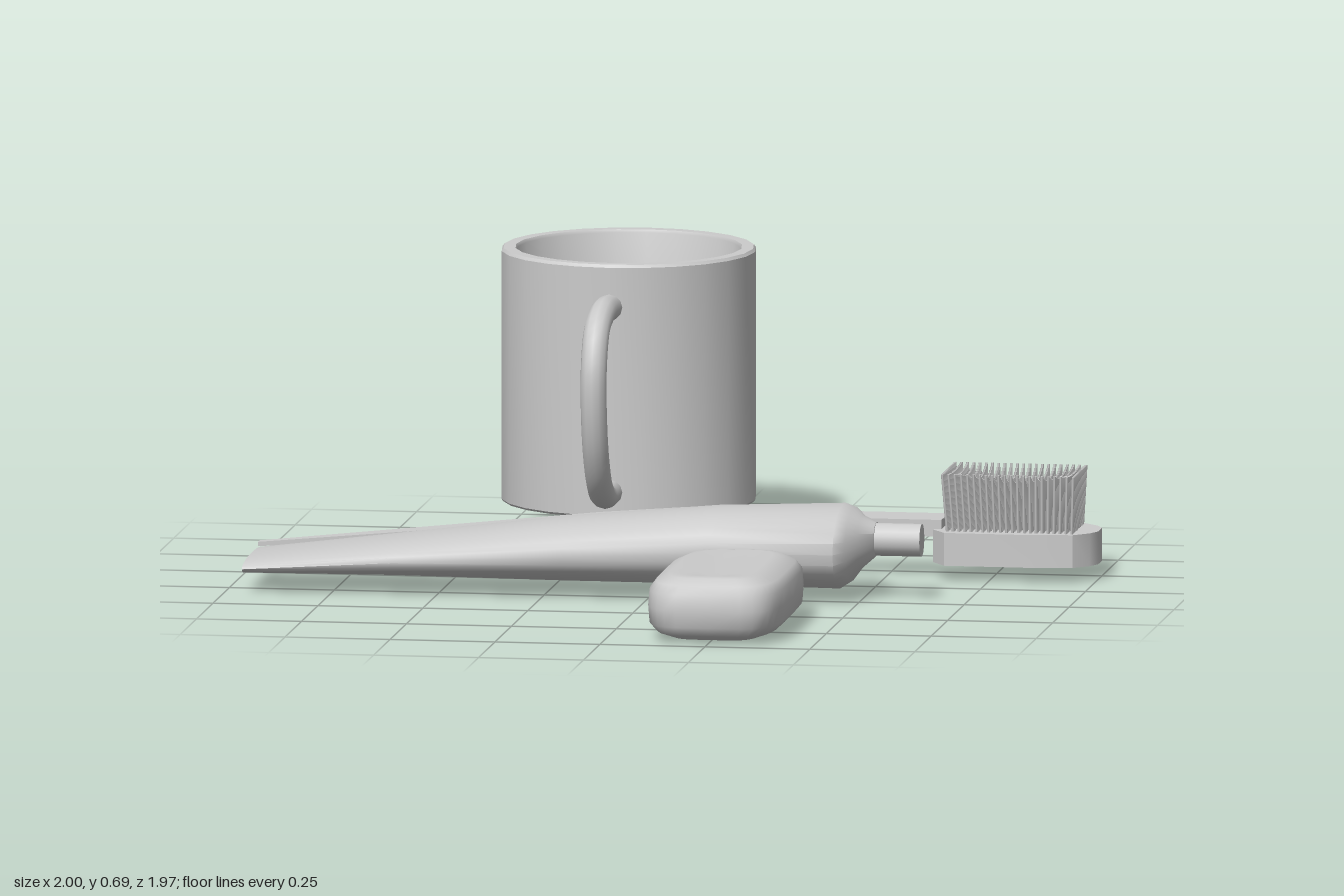
import * as THREE from 'three';
import { mergeGeometries, toCreasedNormals } from 'three/addons/utils/BufferGeometryUtils.js';

const material = new THREE.MeshStandardMaterial({ color: 0xcccccc, side: THREE.DoubleSide });

function part(name, geometry, parent, crease) {
  const mesh = new THREE.Mesh(crease ? toCreasedNormals(geometry, crease) : geometry, material);
  mesh.name = name;
  parent.add(mesh);
  return mesh;
}

// Skins closed rings of points (counter-clockwise about the axis) and caps both ends
function loft(rings) {
  const n = rings[0].length;
  const index = [];
  for (let r = 0; r < rings.length - 1; r++) {
    for (let i = 0; i < n; i++) {
      const a = r * n + i, b = r * n + (i + 1) % n;
      index.push(a, b, b + n, a, b + n, a + n);
    }
  }
  const last = (rings.length - 1) * n;
  for (let i = 1; i < n - 1; i++) {
    index.push(0, i + 1, i, last, last + i, last + i + 1);
  }
  const geometry = new THREE.BufferGeometry();
  geometry.setAttribute('position', new THREE.Float32BufferAttribute(rings.flat(2), 3));
  geometry.setIndex(index);
  geometry.computeVertexNormals();
  return geometry;
}

// Superellipse outline: power 2 is an ellipse, higher is boxier
function oval(sides, a, b, power) {
  const bend = (v) => Math.sign(v) * Math.pow(Math.abs(v), 2 / power);
  return Array.from({ length: sides }, (_, i) => {
    const t = (i / sides) * Math.PI * 2;
    return [a * bend(Math.cos(t)), b * bend(Math.sin(t))];
  });
}

function createMug() {
  const mug = new THREE.Group();
  mug.name = 'mug';
  mug.position.set(-0.195, 0, -0.685);
  const profile = [
    [0, 0.09], [0.297, 0.09], [0.301, 0.095], [0.301, 0.685], [0.296, 0.692],
    [0.268, 0.692], [0.264, 0.685], [0.264, 0.13], [0, 0.13],
  ].map(([x, y]) => new THREE.Vector2(x, y));
  part('mugBody', new THREE.LatheGeometry(profile, 24), mug, 0.6);

  // Handle loops out toward the front
  const path = new THREE.CatmullRomCurve3([
    [0.59, 0.285], [0.592, 0.40], [0.56, 0.49], [0.49, 0.53], [0.40, 0.535],
    [0.28, 0.505], [0.19, 0.445], [0.155, 0.38], [0.15, 0.285],
  ].map(([y, z]) => new THREE.Vector3(0, y, z)));
  part('mugHandle', new THREE.TubeGeometry(path, 32, 0.031, 12), mug);
  return mug;
}

function createToothbrush() {
  const brush = new THREE.Group();
  brush.name = 'toothbrush';

  // Handle sections: x, bottom, top, back z, front z
  const sections = [
    [-1, 0.034, 0.044, -0.21, -0.185],
    [-0.2, 0.082, 0.12, -0.278, -0.176],
    [0, 0.096, 0.136, -0.28, -0.172],
    [0.63, 0.096, 0.136, -0.28, -0.172],
  ];
  part('brushHandle', loft(sections.map(([x, y0, y1, z0, z1]) => [
    [x, y0, z0], [x, y1, z0], [x, y1, z1], [x, y0, z1],
  ])), brush, 0.4);

  // Head with cut corners
  const half = [[0.61, 0.055], [0.645, 0.108], [0.85, 0.111], [0.95, 0.097], [0.985, 0.062], [1, 0.03]];
  const outline = [
    ...half.map(([x, z]) => new THREE.Vector2(x, -z)),
    ...half.map(([x, z]) => new THREE.Vector2(x, z)).reverse(),
  ];
  const head = new THREE.ExtrudeGeometry(new THREE.Shape(outline), { depth: 0.078, bevelEnabled: false });
  head.rotateX(-Math.PI / 2).translate(0, 0.036, -0.223);
  part('brushHead', head, brush, 0.5);

  // Bristles fan outward a little and dip toward the middle
  const strands = [];
  const up = new THREE.Vector3(0, 1, 0);
  const nx = 22, nz = 14;
  for (let i = 0; i < nx; i++) {
    for (let j = 0; j < nz; j++) {
      const u = (i / (nx - 1)) * 2 - 1, v = (j / (nz - 1)) * 2 - 1;
      const root = new THREE.Vector3(0.797 + u * 0.148, 0.11, -0.226 + v * 0.084);
      const tip = new THREE.Vector3(0.795 + u * 0.156,
        0.252 - 0.03 * (1 - u * u) * (1 - v * v), -0.226 + v * 0.098);
      const axis = tip.clone().sub(root);
      const strand = new THREE.CylinderGeometry(0.0035, 0.0035, axis.length(), 5);
      strand.applyQuaternion(new THREE.Quaternion().setFromUnitVectors(up, axis.normalize()));
      const mid = root.add(tip).multiplyScalar(0.5);
      strands.push(strand.translate(mid.x, mid.y, mid.z));
    }
  }
  part('bristles', mergeGeometries(strands), brush);
  return brush;
}

function createToothpaste() {
  const tube = new THREE.Group();
  tube.name = 'toothpasteTube';

  // Body sections: x, centre y, half height, half width
  const sections = [
    [-0.957, 0.057, 0.018, 0.156],
    [-0.6, 0.08, 0.044, 0.156],
    [-0.2, 0.103, 0.073, 0.156],
    [0.15, 0.119, 0.09, 0.156],
    [0.45, 0.123, 0.098, 0.156],
    [0.475, 0.127, 0.086, 0.132],
    [0.497, 0.133, 0.062, 0.085],
    [0.53, 0.14, 0.04, 0.045],
  ];
  part('tubeBody', loft(sections.map(([x, y, h, w]) =>
    oval(28, h, w, 2.3).map(([dy, dz]) => [x, y + dy, 0.178 + dz]))), tube, 0.8);

  const nozzle = new THREE.CylinderGeometry(0.039, 0.039, 0.13, 20);
  nozzle.rotateZ(-Math.PI / 2).translate(0.573, 0.14, 0.178);
  part('nozzle', nozzle, tube);
  return tube;
}

function createSoap() {
  // Layers: height, inset from the widest outline
  const layers = [
    [0, 0.09], [0.005, 0.055], [0.018, 0.022], [0.04, 0.003], [0.08, 0],
    [0.118, 0.003], [0.138, 0.018], [0.152, 0.048], [0.155, 0.07], [0.15, 0.11],
  ];
  const rings = layers.map(([y, inset]) =>
    oval(32, 0.283 - inset, 0.162 - inset, 4.5).map(([z, x]) => [0.253 + x, y, 0.698 + z]));
  const soap = new THREE.Group();
  soap.name = 'soap';
  part('soapBar', loft(rings), soap);
  return soap;
}

export function createModel() {
  const model = new THREE.Group();
  model.name = 'bathroomSet';
  model.add(createMug(), createToothbrush(), createToothpaste(), createSoap());
  return model;
}
